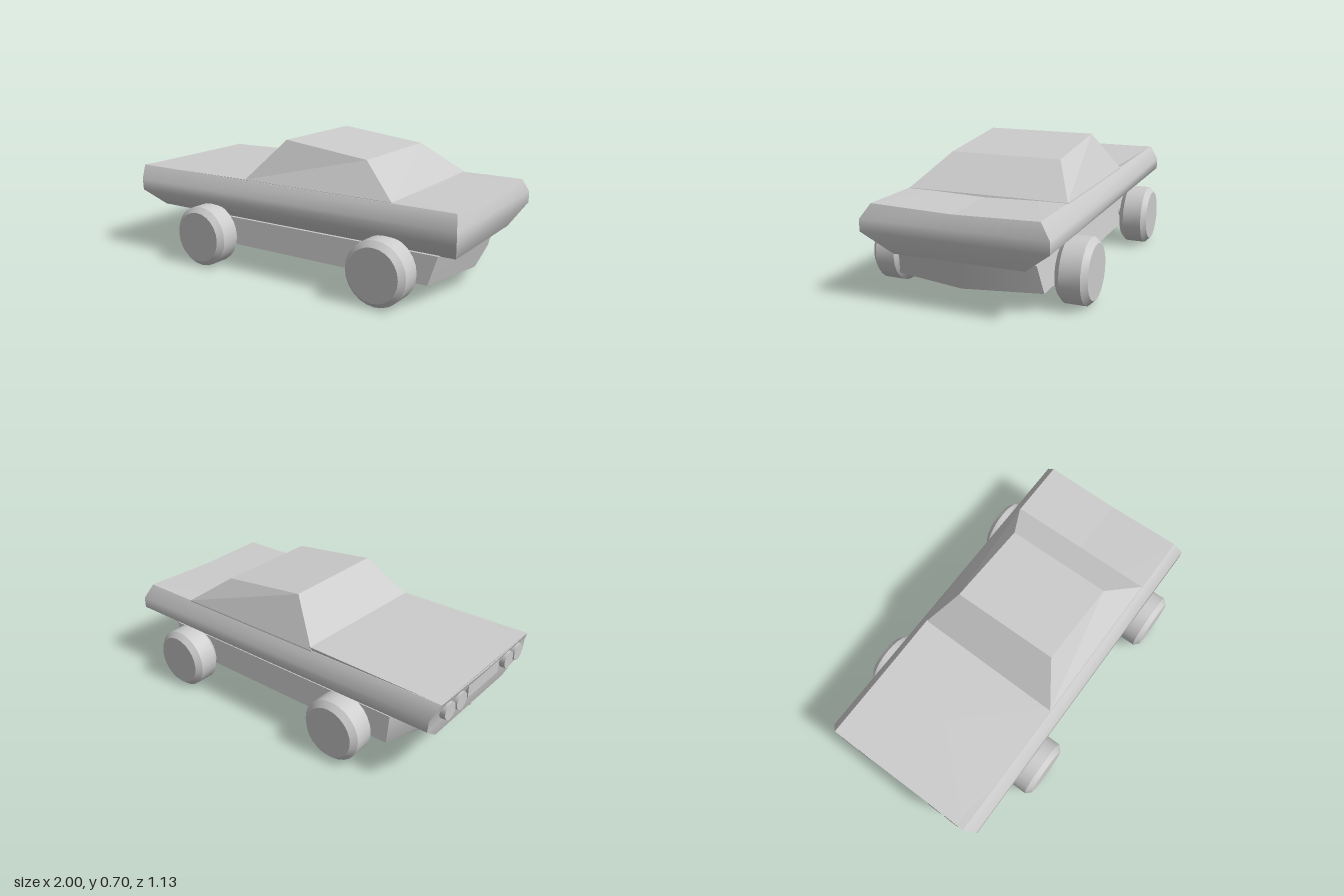
import * as THREE from 'three';
import { mergeGeometries, toCreasedNormals } from 'three/addons/utils/BufferGeometryUtils.js';

const material = new THREE.MeshStandardMaterial({ color: 0xcccccc });

function add(parent, name, geometry, x = 0, y = 0, z = 0) {
  const mesh = new THREE.Mesh(geometry, material);
  mesh.name = name;
  mesh.position.set(x, y, z);
  parent.add(mesh);
  return mesh;
}

const soup = (points) => new THREE.BufferGeometry()
  .setAttribute('position', new THREE.Float32BufferAttribute(points.flat(), 3));

// Stacks rings (counterclockwise from above) into smooth walls with flat lids
function loft(rings, crease = 0.1) {
  const n = rings[0].length, walls = [], lids = [];
  const middle = (ring) => [0, 1, 2].map((k) => ring.reduce((s, p) => s + p[k], 0) / n);
  const low = rings[0], high = rings[rings.length - 1];
  const lowMid = middle(low), highMid = middle(high);
  for (let i = 0; i < n; i++) {
    const j = (i + 1) % n;
    for (let r = 0; r + 1 < rings.length; r++) {
      const a = rings[r], b = rings[r + 1];
      walls.push(a[i], a[j], b[j], a[i], b[j], b[i]);
    }
    lids.push(lowMid, low[j], low[i], highMid, high[i], high[j]);
  }
  const lidGeometry = soup(lids);
  lidGeometry.computeVertexNormals();
  return mergeGeometries([toCreasedNormals(soup(walls), crease), lidGeometry]);
}

// Four-cornered ring
const rect = (x0, x1, y, z0, z1, yFront = y, yRear = y) =>
  [[x1, yRear, z1], [x1, yRear, z0], [x0, yFront, z0], [x0, yFront, z1]];

// Six-cornered ring with separate middle points at nose and tail
const hex = (nose, front, rear, tail, y, z, yMid = y) =>
  [[rear, y, z], [tail, yMid, 0], [rear, y, -z], [front, y, -z], [nose, yMid, 0], [front, y, z]];

export function createModel() {
  const car = new THREE.Group();
  car.name = 'car';

  // Main body shell, widest at mid height, nose leaning forward at the top
  add(car, 'body', loft([
    hex(-0.93, -0.93, 0.94, 0.94, 0.24, 0.335),
    hex(-0.965, -0.965, 1, 1, 0.35, 0.475),
    hex(-0.97, -0.97, 1, 1, 0.41, 0.475),
    hex(-1, -1, 0.975, 0.975, 0.485, 0.423, 0.474),
  ], 1.0));

  // Hood rising slightly toward the windshield
  add(car, 'hood', loft([
    rect(-0.99, -0.2, 0.465, -0.42, 0.42),
    [[-0.23, 0.487, 0.42], [-0.23, 0.5, -0.42], [-0.995, 0.484, -0.42], [-0.995, 0.484, 0.42]],
  ]));

  // Cabin with sloping roof
  add(car, 'cabin', loft([
    rect(-0.245, 0.645, 0.475, -0.427, 0.42),
    rect(-0.245, 0.64, 0.487, -0.425, 0.418),
    rect(-0.065, 0.425, 0.7, -0.308, 0.285, 0.7, 0.645),
  ]));

  // Lower chassis, pointed at both ends
  add(car, 'chassis', loft([
    hex(-0.81, -0.685, 0.82, 0.9, 0.1, 0.38),
    hex(-0.94, -0.685, 0.86, 0.94, 0.245, 0.358),
  ], 0.9));

  // Grille and paired headlights
  add(car, 'grille', new THREE.BoxGeometry(0.03, 0.07, 0.3), -0.97, 0.41, 0);
  for (const z of [-0.34, -0.235, 0.235, 0.34]) {
    add(car, 'headlight', new THREE.CylinderGeometry(0.046, 0.046, 0.05, 20), -0.975, 0.41, z)
      .rotation.z = Math.PI / 2;
  }

  // Axles and wheels with chamfered edges
  const profile = [[0, -0.08], [0.137, -0.08], [0.165, -0.052], [0.165, 0.052], [0.137, 0.08], [0, 0.08]]
    .map(([r, h]) => new THREE.Vector2(r, h));
  const wheel = toCreasedNormals(new THREE.LatheGeometry(profile, 24), 0.5);
  for (const [end, x] of [['front', -0.465], ['rear', 0.625]]) {
    add(car, end + 'Axle', new THREE.CylinderGeometry(0.029, 0.029, 0.9, 16), x, 0.172, 0)
      .rotation.x = Math.PI / 2;
    for (const side of [-1, 1]) {
      add(car, end + 'Wheel', wheel, x, 0.166, side * 0.486).rotation.x = Math.PI / 2;
    }
  }
  return car;
}
